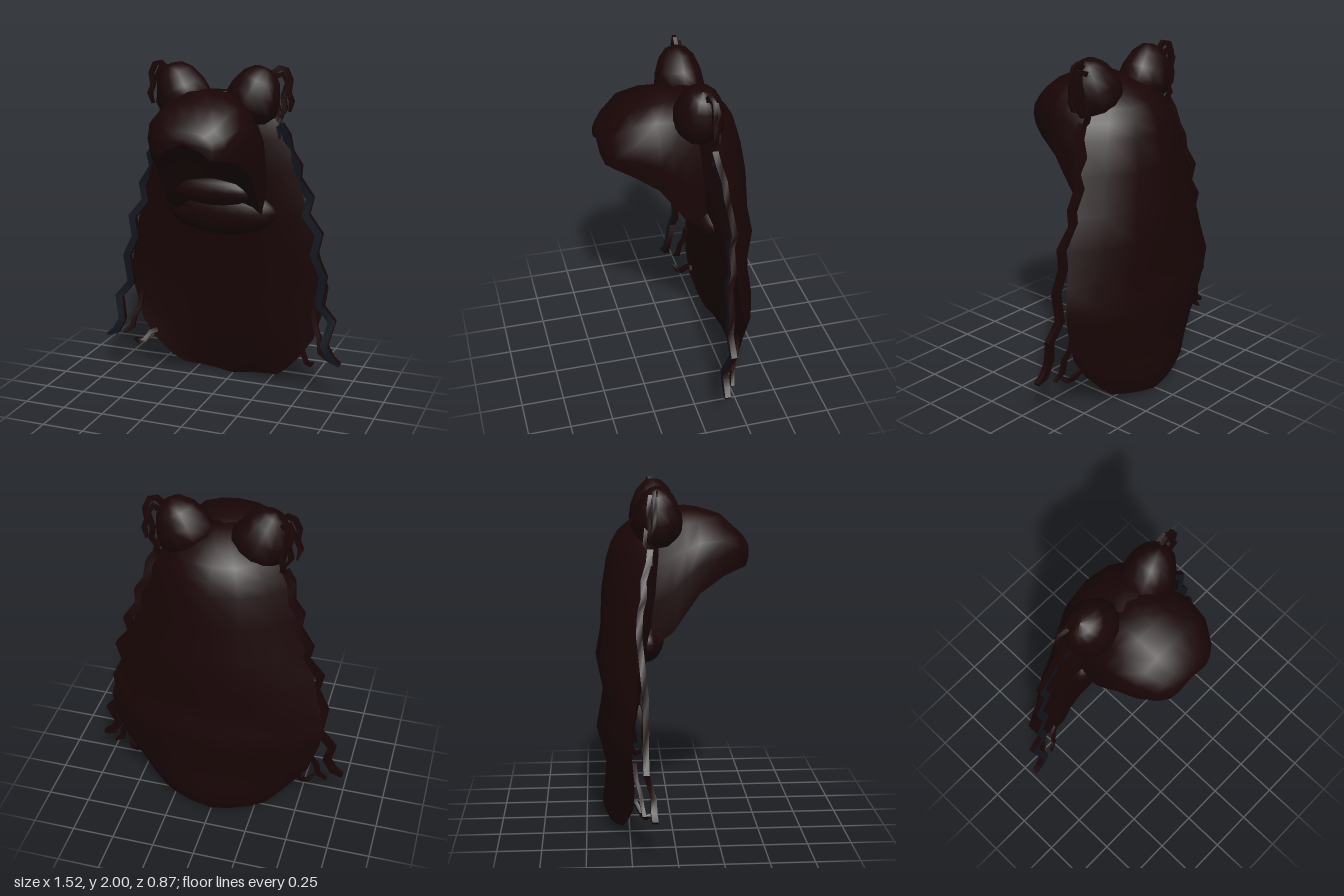
import * as THREE from 'three';
import { toCreasedNormals } from 'three/addons/utils/BufferGeometryUtils.js';

const hide = new THREE.MeshStandardMaterial({ color: 0x190506 });
hide.name = 'dark maroon hide';
const slate = new THREE.MeshStandardMaterial({ color: 0x10141c });
slate.name = 'dark slate';

// Skin a list of closed rings of [x, y, z] points and cap the last one
function loft(rings, crease = 0.9) {
  const n = rings[0].length, pos = rings.flat(2), idx = [];
  for (let i = 0; i < rings.length - 1; i++) {
    for (let j = 0; j < n; j++) {
      const a = i * n + j, b = i * n + (j + 1) % n, c = a + n, d = b + n;
      idx.push(a, b, c, b, d, c);
    }
  }
  const last = rings.length - 1, center = pos.length / 3;
  for (let k = 0; k < 3; k++) pos.push(rings[last].reduce((s, p) => s + p[k], 0) / n);
  for (let j = 0; j < n; j++) idx.push(last * n + j, last * n + (j + 1) % n, center);
  const g = new THREE.BufferGeometry();
  g.setAttribute('position', new THREE.Float32BufferAttribute(pos, 3));
  g.setIndex(idx);
  return toCreasedNormals(g, crease);
}

// Flat tapering strip along a path: group 0 is the front face, group 1 the rest
function strip(points, width, depth, side) {
  const pos = [], front = [], rest = [];
  const path = points.map((p) => new THREE.Vector3(p[0] * side, p[1], p[2]));
  path.forEach((p, i) => {
    const t = path[Math.min(i + 1, path.length - 1)].clone().sub(path[Math.max(i - 1, 0)]);
    t.z = 0;
    t.normalize();
    const w = width / 2 * (i === path.length - 1 ? 0.4 : 1);
    const nx = t.y * w, ny = -t.x * w, h = depth / 2;
    // right-hand and left-hand edges of the travel direction, front then back
    pos.push(p.x + nx, p.y + ny, p.z + h, p.x - nx, p.y - ny, p.z + h,
      p.x - nx, p.y - ny, p.z - h, p.x + nx, p.y + ny, p.z - h);
  });
  for (let i = 0; i < path.length - 1; i++) {
    for (let j = 0; j < 4; j++) {
      const a = i * 4 + j, b = i * 4 + (j + 1) % 4;
      (j ? rest : front).push(a, a + 4, b, b, a + 4, b + 4);
    }
  }
  const e = (path.length - 1) * 4;
  rest.push(0, 1, 2, 0, 2, 3, e, e + 2, e + 1, e, e + 3, e + 2);
  const g = new THREE.BufferGeometry();
  g.setAttribute('position', new THREE.Float32BufferAttribute(pos, 3));
  g.setIndex([...front, ...rest]);
  g.addGroup(0, front.length, 0);
  g.addGroup(front.length, rest.length, 1);
  return toCreasedNormals(g, 0.9);
}

export function createModel() {
  const model = new THREE.Group();
  model.name = 'hoodedCreature';
  const add = (name, geometry, material = hide, parent = model) => {
    const mesh = new THREE.Mesh(geometry, material);
    mesh.name = name;
    parent.add(mesh);
    return mesh;
  };

  // Curved back shell closing to a thin hem: y, half width, edge z, back z, front z, centre sag
  const shellRows = [
    [0.06, 0.31, -0.295, -0.365, -0.365, 0.058], [0.12, 0.38, -0.265, -0.405, -0.33, 0.02],
    [0.22, 0.47, -0.235, -0.39, -0.295, 0], [0.35, 0.56, -0.23, -0.38, -0.265, 0],
    [0.57, 0.625, -0.245, -0.435, -0.225, 0], [0.68, 0.64, -0.25, -0.415, -0.205, 0],
    [0.80, 0.61, -0.23, -0.395, -0.18, 0], [1.01, 0.565, -0.205, -0.435, -0.145, 0],
    [1.17, 0.51, -0.19, -0.405, -0.11, 0], [1.40, 0.45, -0.165, -0.395, -0.06, 0],
    [1.58, 0.40, -0.14, -0.365, -0.04, 0], [1.66, 0.355, -0.13, -0.34, -0.04, 0],
    [1.73, 0.30, -0.12, -0.30, -0.04, 0], [1.80, 0.20, -0.10, -0.22, -0.02, 0],
    [1.85, 0.10, -0.06, -0.10, 0, 0],
  ];
  const half = [1, 0.75, 0.4, 0, -0.4, -0.75];
  const across = [...half.map((u) => [u, 3]), ...half.map((u) => [-u, 4])];
  add('backShell', loft(shellRows.map((r) => across.map(([u, side]) => [
    u * r[1],
    r[0] - r[5] * (1 - Math.abs(u)),
    r[side] + (r[2] - r[side]) * Math.abs(u) ** 2.4,
  ]))));

  // Hooded head, hollowed underneath as a mouth: z, half width, bottom, top, hollow depth
  const headRows = [
    [-0.24, 0.25, 1.10, 1.74, 0], [-0.12, 0.29, 1.10, 1.82, 0.03],
    [0, 0.305, 1.19, 1.865, 0.12], [0.08, 0.31, 1.31, 1.87, 0.14],
    [0.15, 0.305, 1.41, 1.86, 0.13], [0.28, 0.28, 1.50, 1.82, 0.10],
    [0.38, 0.215, 1.535, 1.73, 0.08], [0.42, 0.16, 1.54, 1.69, 0.08],
    [0.438, 0.11, 1.585, 1.66, 0.04],
  ];
  // x, height fraction, share of the hollow
  const headHalf = [[0.5, 0, 0.8], [0.93, 0, 0], [1, 0.35, 0], [0.95, 0.62, 0],
    [0.72, 0.86, 0], [0.36, 0.97, 0]];
  const headRing = [[0, 0, 1], ...headHalf, [0, 1, 0],
    ...headHalf.map(([x, y, h]) => [-x, y, h]).reverse()];
  add('hoodedHead', loft(headRows.map(([z, w, lo, hi, hollow]) => headRing.map(([x, y, h]) => [
    x * w, lo + (hi - lo) * y + hollow * h, z,
  ]))));

  // Lower jaw inside the mouth, and the soft fold of skin under it
  const jaw = add('lowerJaw', new THREE.SphereGeometry(1, 16, 10));
  jaw.scale.set(0.265, 0.09, 0.08);
  jaw.position.set(0, 1.275, -0.02);
  const fold = add('chinFold', new THREE.SphereGeometry(1, 20, 12));
  fold.scale.set(0.34, 0.155, 0.11);
  fold.position.set(0, 1.13, -0.145);

  // Tendril paths on the model's left; mirrored for the right
  const longPath = [
    [0.36, 1.66, -0.13], [0.40, 1.60, -0.14], [0.41, 1.50, -0.17], [0.465, 1.42, -0.17],
    [0.455, 1.34, -0.19], [0.53, 1.23, -0.20], [0.51, 1.13, -0.19], [0.595, 1.02, -0.18],
    [0.57, 0.90, -0.168], [0.63, 0.77, -0.168], [0.605, 0.60, -0.17], [0.69, 0.50, -0.17],
    [0.655, 0.36, -0.13], [0.70, 0.28, -0.13], [0.755, 0.25, -0.125],
  ];
  const smallPaths = {
    sideTendril: [[0.56, 0.53, -0.23], [0.575, 0.43, -0.22], [0.605, 0.37, -0.20],
      [0.615, 0.29, -0.19], [0.665, 0.25, -0.18]],
    lowerHook: [[0.46, 0.28, -0.24], [0.50, 0.265, -0.22], [0.53, 0.215, -0.19],
      [0.56, 0.21, -0.17], [0.585, 0.23, -0.155]],
    outerEyeTendril: [[0.32, 1.95, -0.10], [0.36, 1.985, -0.10], [0.40, 1.975, -0.11],
      [0.425, 1.92, -0.11], [0.415, 1.85, -0.11], [0.435, 1.80, -0.11], [0.42, 1.74, -0.12]],
    innerEyeTendril: [[0.33, 1.93, -0.13], [0.375, 1.95, -0.13], [0.40, 1.90, -0.14],
      [0.375, 1.82, -0.14], [0.39, 1.75, -0.13], [0.365, 1.70, -0.13]],
    shoulderTendril: [[0.33, 1.78, -0.15], [0.355, 1.70, -0.16], [0.34, 1.64, -0.13],
      [0.365, 1.58, -0.13]],
  };
  const eyeProfile = [[0, -0.1], [0.12, -0.07], [0.165, 0], [0.152, 0.08], [0.115, 0.165],
    [0.065, 0.215], [0, 0.23]].map(([r, y]) => new THREE.Vector2(r, y));

  for (const side of [1, -1]) {
    const group = new THREE.Group();
    group.name = side > 0 ? 'leftSide' : 'rightSide';
    model.add(group);
    // Domed eye lobe leaning outward
    const eye = add('eyeLobe', new THREE.LatheGeometry(eyeProfile, 12), hide, group);
    eye.scale.z = 0.88;
    eye.position.set(side * 0.2, 1.775, -0.085);
    eye.rotation.z = -side * 0.4;
    // Long wavy tendril, slate in front, and the small ones
    add('longTendril', strip(longPath, 0.046, 0.034, side), [slate, hide], group);
    for (const [name, path] of Object.entries(smallPaths)) {
      add(name, strip(path, 0.03, 0.022, side), [hide, hide], group);
    }
  }
  return model;
}
